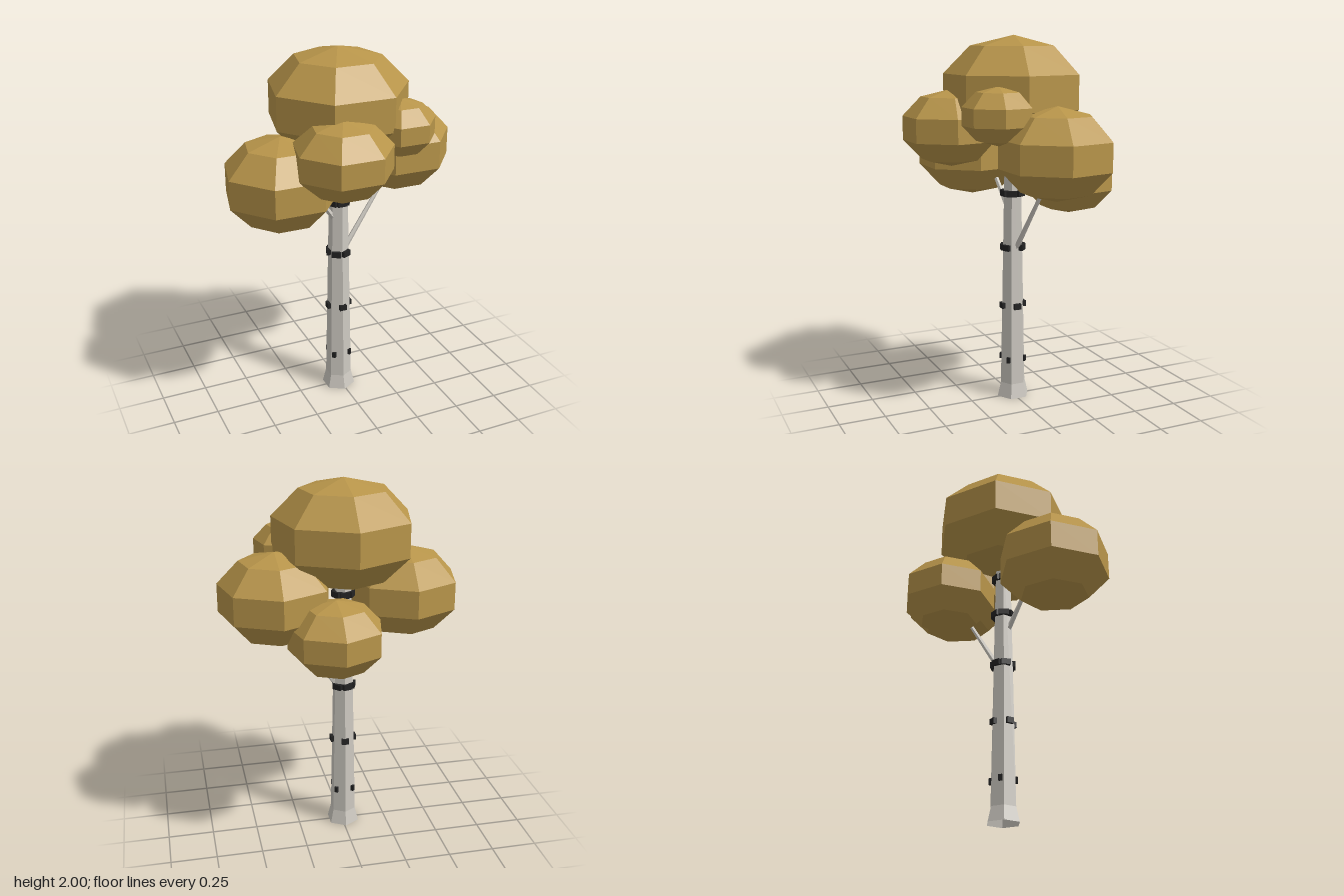
import * as THREE from 'three';

const material = (name, color, side = THREE.FrontSide) =>
  Object.assign(new THREE.MeshStandardMaterial({ color, flatShading: true, side }), { name });

export function createModel() {
  const tree = new THREE.Group();
  tree.name = 'tree';
  const bark = material('paleBark', 0xcdc9c1, THREE.DoubleSide);
  const dark = material('darkBark', 0x232323);
  const leaf = material('goldenLeaves', 0xb8954a);
  const cx = -0.008, cz = -0.003;

  const add = (name, geometry, mat, parent = tree) => {
    const mesh = new THREE.Mesh(geometry, mat);
    mesh.name = name;
    parent.add(mesh);
    return mesh;
  };

  // Six-sided trunk with a flared, open foot
  const profile = [[0.0925, 0], [0.073, 0.08], [0.044, 1.55]].map(p => new THREE.Vector2(...p));
  add('trunk', new THREE.LatheGeometry(profile, 6), bark).position.set(cx, 0, cz);

  // Two thin branches
  const branch = (name, from, to) => {
    const a = new THREE.Vector3(...from), b = new THREE.Vector3(...to);
    const dir = b.clone().sub(a);
    const mesh = add(name, new THREE.CylinderGeometry(0.01, 0.016, dir.length(), 5), bark);
    mesh.position.copy(a).add(b).multiplyScalar(0.5);
    mesh.quaternion.setFromUnitVectors(new THREE.Vector3(0, 1, 0), dir.normalize());
  };
  branch('leftBranch', [0.02, 0.85, -0.008], [0.31, 1.26, -0.05]);
  branch('rightBranch', [-0.015, 1.03, 0.005], [-0.22, 1.32, 0.045]);

  // Rings of dark bark marks: height, mark width, ring radius, angles from the front
  const rings = [
    [0.22, 0.02, 0.063, [45, 135, 225, 315]],
    [0.53, 0.04, 0.06, [0, 90, 180, 270]],
    [0.86, 0.052, 0.055, [25, 135, 195, 250, 325]],
    [1.16, 0.055, 0.05, [0, 60, 120, 180, 240, 300]],
    [1.385, 0.052, 0.047, [0, 60, 120, 180, 240, 300]],
  ];
  const marks = new THREE.Group();
  marks.name = 'barkMarks';
  tree.add(marks);
  for (const [y, width, radius, angles] of rings) {
    for (const degrees of angles) {
      const t = THREE.MathUtils.degToRad(degrees);
      const mark = add('barkMark', new THREE.BoxGeometry(width, 0.032, 0.024), dark, marks);
      mark.position.set(cx + radius * Math.sin(t), y, cz + radius * Math.cos(t));
      mark.rotation.y = t;
    }
  }

  // Faceted leaf clumps: centre, horizontal radius, vertical radius
  const clumps = [
    ['topLeaves', -0.009, 1.71, -0.01, 0.395, 0.29],
    ['rightLeaves', -0.365, 1.355, 0.088, 0.318, 0.245],
    ['leftLeaves', 0.365, 1.408, -0.08, 0.315, 0.243],
    ['backLeaves', 0.09, 1.245, -0.296, 0.262, 0.2],
    ['frontLeaves', -0.119, 1.515, 0.307, 0.272, 0.205],
    ['smallLeaves', 0.25, 1.6, 0.192, 0.196, 0.15],
  ];
  for (const [name, x, y, z, r, h] of clumps) {
    const ball = new THREE.SphereGeometry(1, 7, 5).rotateY(-Math.PI / 2).scale(r, h, r);
    add(name, ball, leaf).position.set(x, y, z);
  }
  return tree;
}
